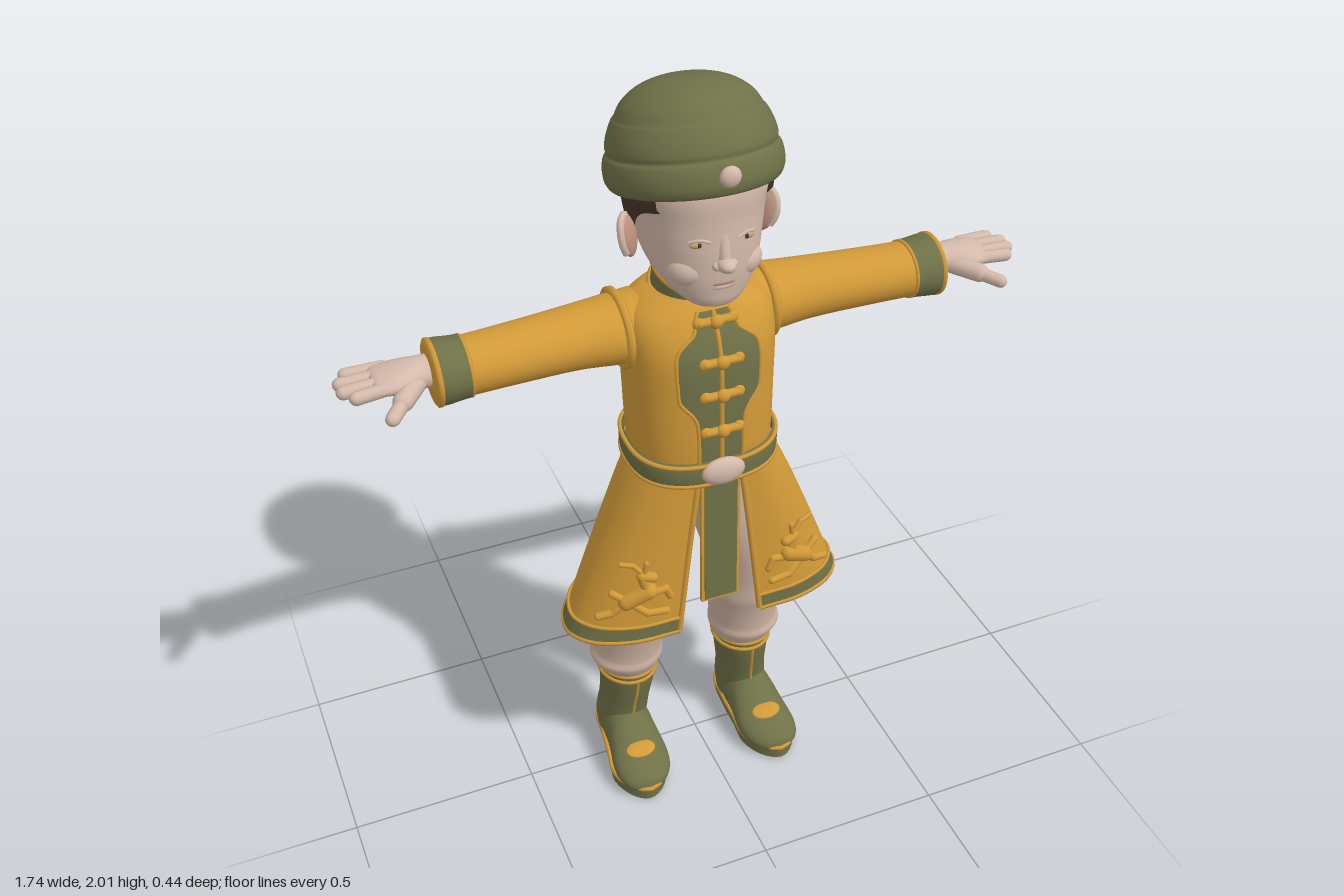
import * as THREE from 'three';
import { mergeVertices } from 'three/addons/utils/BufferGeometryUtils.js';

const V = (x, y, z) => new THREE.Vector3(x, y, z);
const PI = Math.PI;

// Smooth interpolation of rows [pos, cx, cz, rx, rz, tilt] by position
function at(rows, y) {
  let i = 0;
  while (i < rows.length - 2 && y > rows[i + 1][0]) i++;
  const a = rows[i], b = rows[i + 1], p = rows[i - 1] || a, n = rows[i + 2] || b;
  const h = b[0] - a[0], t = (y - a[0]) / h, t2 = t * t, t3 = t2 * t;
  return a.map((_, k) => {
    const m0 = (b[k] - p[k]) / (b[0] - p[0]), m1 = (n[k] - a[k]) / (n[0] - a[0]);
    return (2 * t3 - 3 * t2 + 1) * a[k] + (t3 - 2 * t2 + t) * h * m0 + (3 * t2 - 2 * t3) * b[k] + (t3 - t2) * h * m1;
  });
}
// Surface function: u = angle from the front towards +x, y = position, off = outward offset
const surf = (rows, e = 1) => (u, y, off = 0) => {
  const [, cx, cz, rx, rz, tilt = 0] = at(rows, y), s = Math.sin(u), c = Math.cos(u);
  const dz = (rz + off) * Math.sign(c) * Math.abs(c) ** e;
  return V(cx + (rx + off) * Math.sign(s) * Math.abs(s) ** e, y + tilt * dz, cz + dz);
};
const range = (a, b, n) => Array.from({ length: n + 1 }, (_, i) => a + (b - a) * i / n);
const steps = (rows, k = 4) => rows.slice(1).flatMap((r, i) => range(rows[i][0], r[0], k).slice(i ? 1 : 0));

function clean(g) {
  g.deleteAttribute('uv');
  g.deleteAttribute('normal');
  g = mergeVertices(g, 1e-5);
  g.computeVertexNormals();
  return g;
}
function grid(fn, us, vs) {
  const pos = [], idx = [], n = us.length;
  vs.forEach(v => us.forEach(u => pos.push(...fn(u, v).toArray())));
  for (let j = 0; j < vs.length - 1; j++) for (let i = 0; i < n - 1; i++) {
    const a = j * n + i;
    idx.push(a, a + 1, a + n, a + 1, a + n + 1, a + n);
  }
  const g = new THREE.BufferGeometry();
  g.setAttribute('position', new THREE.Float32BufferAttribute(pos, 3));
  g.setIndex(idx);
  return clean(g);
}
const skin = (rows, e, n = 40) => grid(surf(rows, e), range(-PI, PI, n), steps(rows));
const tube = (pts, r, closed = false) =>
  new THREE.TubeGeometry(new THREE.CatmullRomCurve3(pts, closed), pts.length * 3, r, 6, closed);
const hoop = (fn, y, r, off = 0) => tube(range(-PI, PI, 24).slice(1).map(u => fn(u, y, off)), r, true);
const ball = (x, y, z, a, b = a, c = a) => new THREE.SphereGeometry(1, 20, 14).scale(a, b, c).translate(x, y, z);
function limb(a, b, r) {
  const d = b.clone().sub(a), m = a.clone().add(b).multiplyScalar(0.5);
  return new THREE.CapsuleGeometry(r, d.length(), 5, 10)
    .applyQuaternion(new THREE.Quaternion().setFromUnitVectors(V(0, 1, 0), d.normalize())).translate(m.x, m.y, m.z);
}
function mirror(geo) {
  const g = geo.clone().scale(-1, 1, 1), ix = g.index.array;
  for (let i = 0; i < ix.length; i += 3) [ix[i], ix[i + 1]] = [ix[i + 1], ix[i]];
  return g;
}

export function createModel() {
  const root = new THREE.Group();
  root.name = 'child';
  const mat = (name, color, side = THREE.FrontSide) => {
    const m = new THREE.MeshStandardMaterial({ color, side });
    m.name = name;
    return m;
  };
  const gold = mat('golden cloth', 0xd29a38, THREE.DoubleSide), green = mat('olive cloth', 0x6f7148, THREE.DoubleSide);
  const flesh = mat('skin', 0xd4baab), pants = mat('trouser cloth', 0xcdb2a2), hair = mat('brown hair', 0x4a382b, THREE.DoubleSide);
  const rosy = mat('rosy skin', 0xc0917f), eye = mat('amber eye', 0xb9a070);
  const add = (name, geo, m) => {
    const mesh = new THREE.Mesh(geo, m);
    mesh.name = name;
    root.add(mesh);
  };
  const pair = (name, geo, m, dx = 0) => {
    const other = mirror(geo);
    add(name + 'Left', geo.clone().translate(dx, 0, 0), m);
    add(name + 'Right', other.translate(dx, 0, 0), m);
  };

  // Head and face
  const headRows = [[1.508, 0, .1, .01, .01], [1.514, 0, .1, .05, .05], [1.53, 0, .09, .075, .075], [1.555, 0, .07, .1, .1], [1.6, 0, .035, .128, .14],
    [1.66, 0, .01, .144, .166], [1.73, 0, 0, .155, .172], [1.8, 0, 0, .165, .17], [1.88, 0, 0, .14, .14]];
  const head = surf(headRows, .93);
  add('head', skin(headRows, .93, 48), flesh);
  add('neck', new THREE.CylinderGeometry(.072, .08, .16, 28).translate(0, 1.52, 0), flesh);
  add('noseTip', ball(0, 1.638, .184, .022, .017, .027), flesh);
  add('noseBridge', limb(V(0, 1.65, .174), V(0, 1.7, .161), .015), flesh);
  pair('nostril', ball(.018, 1.634, .175, .013, .011, .014), flesh);
  pair('cheek', ball(.06, 1.612, .115, .055, .045, .048), flesh);
  add('chin', ball(0, 1.54, .138, .036, .025, .026), flesh);
  add('upperLip', tube([-.036, -.018, 0, .018, .036].map(x => V(x, 1.586, .17 - 6 * x * x)), .006), rosy);
  add('lowerLip', tube([-.026, 0, .026].map(x => V(x, 1.575, .168 - 6 * x * x)), .007), flesh);
  pair('eye', ball(.058, 1.688, .158, .02, .008, .009), eye);
  pair('pupil', ball(.057, 1.689, .165, .005, .006, .004), hair);
  pair('upperLid', tube([.2, .36, .52].map((u, i) => head(u, 1.695 + (i === 1 ? .006 : 0), .001)), .004), flesh);
  pair('ear', ball(0, 0, 0, .016, .054, .036).rotateY(.65).rotateZ(-.18).translate(.166, 1.658, .008), rosy);
  pair('earRim', tube(range(-.6, 3.9, 9).map(a => V(0, .05 * Math.sin(a), -.033 * Math.cos(a))), .009)
    .rotateY(.65).rotateZ(-.18).translate(.171, 1.66, .008), flesh);

  // Hair below the cap, with its lower edge rising towards the temples
  const hairRows = [[.9, 1.755], [1.25, 1.735], [1.5, 1.7], [1.8, 1.63], [2.3, 1.6], [PI, 1.59]];
  add('hair', grid((u, v) => {
    const a = Math.min(PI, u > PI ? 2 * PI - u : u);
    return head(u, THREE.MathUtils.lerp(at(hairRows, a)[1], 1.83, v), .011 * Math.min(1, v * 5));
  }, range(.9, 2 * PI - .9, 44), range(0, 1, 10)), hair);

  // Rolled cap, higher at the brow than at the nape
  const capPts = [[.15, .01], [.188, -.005], [.204, .012], [.207, .04], [.202, .066], [.194, .076], [.196, .09], [.189, .118], [.176, .146],
    [.169, .154], [.15, .184], [.112, .212], [.06, .229], [0, .234]].map(p => new THREE.Vector2(...p));
  add('cap', clean(new THREE.LatheGeometry(new THREE.SplineCurve(capPts).getPoints(60).map(p => p.setX(Math.max(0, p.x))), 56))
    .rotateX(-.25).translate(0, 1.768, .001), green);
  add('capButton', ball(0, 1.862, .2, .025, .025, .016), flesh);

  // Coat body
  const torsoRows = [[1.04, 0, .02, .176, .145], [1.12, 0, .02, .181, .148], [1.25, 0, .016, .185, .148], [1.36, 0, .012, .188, .147],
    [1.42, 0, .003, .187, .137], [1.46, 0, -.004, .17, .122], [1.485, 0, -.008, .13, .11], [1.5, 0, -.01, .09, .1]];
  const torso = surf(torsoRows, .8);
  add('coatBody', skin(torsoRows, .8, 56), gold);
  const widthRows = [[1.06, .058], [1.2, .06], [1.23, .072], [1.265, .098], [1.29, .102], [1.38, .102], [1.41, .088], [1.435, .058], [1.48, .05]];
  const edge = y => Math.asin((at(widthRows, y)[1] / .186) ** 1.25);
  const chestYs = range(1.06, 1.48, 28);
  add('chestPanel', grid((u, y) => torso(u * edge(y), y, .005), range(-1, 1, 16), chestYs), green);
  pair('chestTrim', tube(chestYs.map(y => torso(edge(y), y, .004)), .005), gold);
  add('chestSeam', tube(chestYs.map(y => torso(0, y, .005)), .006), gold);
  add('backPanel', grid((u, y) => torso(PI + u, y, .005), range(-.28, .28, 10), chestYs), green);
  pair('backTrim', tube(chestYs.map(y => torso(PI - .28, y, .004)), .005), gold);
  [1.46, 1.37, 1.28, 1.18].forEach(y => {
    const p = torso(0, y, .012);
    add('toggleBar', limb(V(-.04, y, p.z - .003), V(.04, y, p.z - .003), .011), gold);
    add('toggleKnot', ball(0, y, p.z + .002, .018, .018, .014), gold);
    pair('toggleEnd', ball(.043, y, p.z - .004, .015, .015, .009), gold);
  });

  // Standing collar, higher at the nape
  const collarRows = [[1.45, 0, -.008, .108, .112, -.25], [1.5, 0, -.008, .1, .105, -.32], [1.55, 0, -.008, .096, .102, -.34]];
  const collar = surf(collarRows);
  add('collar', skin(collarRows), green);
  add('collarTopTrim', hoop(collar, 1.55, .009), gold);
  add('collarBaseTrim', hoop(collar, 1.48, .009), gold);

  // Belt and buckle
  const beltRows = [[1.03, 0, .02, .186, .155, -.06], [1.04, 0, .02, .194, .162, -.06], [1.09, 0, .02, .194, .162, -.06], [1.1, 0, .02, .184, .153, -.06]];
  const belt = surf(beltRows, .8);
  add('belt', skin(beltRows, .8, 56), green);
  add('beltTopTrim', hoop(belt, 1.093, .006), gold);
  add('beltBaseTrim', hoop(belt, 1.037, .006), gold);
  add('buckle', ball(0, 1.062, .183, .057, .038, .022), flesh);

  // Skirt panels, each running from the front opening round to the back opening
  const curve = pts => new THREE.CatmullRomCurve3(pts.map(([x, z]) => V(x, 0, z)));
  const waist = curve([[.055, .163], [.11, .158], [.16, .12], [.18, .06], [.175, -.02], [.13, -.09], [.06, -.13]]);
  const hem = curve([[.115, .172], [.24, .166], [.34, .125], [.383, .06], [.36, -.03], [.265, -.115], [.11, -.215]]);
  const skirt = (u, y, off = 0) => {
    const p = waist.getPoint(u).lerp(hem.getPoint(u), Math.max(0, (1.05 - y) / .49) ** .9);
    return p.add(p.clone().normalize().multiplyScalar(off)).setY(y);
  };
  const us = range(0, 1, 32);
  pair('skirtPanel', grid(skirt, us, range(.56, 1.05, 14)), gold);
  pair('hemBand', grid((u, y) => skirt(u, y, .005), us, [.568, .588, .606]), green);
  pair('hemTrim', tube(us.map(u => skirt(u, .562)), .008), gold);
  pair('hemUpperTrim', tube(us.map(u => skirt(u, .608, .003)), .005), gold);
  [0, 1].forEach(u => pair('skirtEdge', tube(range(.566, 1.04, 10).map(y => skirt(u, y)), .008), gold));

  // Centre flaps, front and back
  const flap = (name, zTop, zEnd, yEnd, w) => {
    const h = Math.hypot(1.05 - yEnd, zEnd - zTop), a = Math.atan2(zTop - zEnd, 1.05 - yEnd);
    const place = g => g.rotateX(a).translate(0, (1.05 + yEnd) / 2, (zTop + zEnd) / 2);
    add(name + 'Border', place(new THREE.BoxGeometry(w, h, .012)), gold);
    add(name + 'Cloth', place(new THREE.BoxGeometry(w - .016, h - .016, .019)), green);
  };
  flap('frontFlap', .162, .168, .64, .104);
  flap('backFlap', -.132, -.21, .64, .135);

  // Raised leaping deer on the front of each skirt panel
  const relief = (pts, r) => pts.slice(1).forEach((b, i) => {
    const [p, q] = [pts[i], b].map(([x, y]) => V(x, y, .17 - Math.max(0, x - .19) * .33));
    pair('deerRelief', limb(p, q, r), gold);
  });
  relief([[.195, .725], [.25, .69]], .023);
  relief([[.2, .73], [.212, .775], [.185, .768]], .014);
  relief([[.212, .785], [.232, .81], [.262, .815]], .007);
  relief([[.205, .785], [.2, .815]], .007);
  relief([[.19, .715], [.15, .72], [.138, .69]], .01);
  relief([[.25, .69], [.285, .655], [.32, .645]], .011);
  relief([[.235, .68], [.2, .65], [.15, .645]], .011);
  relief([[.26, .7], [.285, .72]], .01);

  // Sleeves, built upright and then turned to point along x
  const side = g => g.rotateZ(-PI / 2);
  const armRows = [[.14, -1.395, -.03, .088, .098], [.2, -1.394, -.03, .083, .096], [.3, -1.397, -.026, .075, .086], [.45, -1.4, -.012, .07, .08],
    [.58, -1.4, -.004, .069, .076], [.65, -1.4, -.004, .072, .077], [.655, -1.4, -.004, .05, .055], [.66, -1.4, -.004, .002, .002]];
  const arm = surf(armRows);
  pair('sleeve', side(skin(armRows)), gold);
  pair('cuff', side(grid((u, y) => arm(u, y, .004), range(-PI, PI, 40), range(.57, .638, 4))), green);
  pair('cuffOuterTrim', side(hoop(arm, .643, .008)), gold);
  pair('cuffInnerTrim', side(hoop(arm, .569, .005)), gold);
  pair('armholeTrim', side(hoop(arm, .187, .011, .004)), gold);

  // Hands
  pair('palm', side(skin([[.63, -1.41, 0, .038, .044], [.67, -1.412, 0, .037, .044], [.72, -1.415, .004, .031, .058], [.765, -1.414, .002, .023, .06],
    [.785, -1.413, 0, .016, .052], [.79, -1.412, 0, .002, .01]], 1, 24)), flesh);
  [[-.045, -.052, .833], [-.015, -.018, .853], [.015, .017, .852], [.043, .05, .83]].forEach(([z0, z1, x]) =>
    pair('finger', limb(V(.75, 1.416, z0), V(x, 1.412, z1), .0165), flesh));
  pair('thumb', limb(V(.69, 1.405, .03), V(.735, 1.4, .085), .024), flesh);
  pair('thumbTip', limb(V(.73, 1.4, .08), V(.77, 1.392, .13), .017), flesh);

  // Trousers, gathered above the boots
  const dx = -.02;
  pair('trouserLeg', skin([[.29, .17, -.028, .065, .075], [.325, .172, -.026, .085, .088], [.36, .176, -.022, .1, .1], [.385, .173, -.022, .094, .097],
    [.43, .17, -.02, .095, .1], [.47, .168, -.016, .098, .104], [.51, .166, -.012, .105, .11], [.57, .165, -.01, .104, .113], [.65, .153, 0, .103, .115],
    [.8, .11, .01, .1, .12], [.95, .085, .02, .088, .11], [1.05, .085, .02, .085, .11]]), pants, dx);

  // Boots
  const shaftRows = [[.03, .187, -.062, .062, .08], [.1, .185, -.056, .07, .082], [.18, .179, -.042, .069, .079], [.27, .173, -.031, .075, .087],
    [.325, .172, -.03, .08, .092]];
  const shaft = surf(shaftRows);
  pair('bootShaft', skin(shaftRows), green, dx);
  pair('bootTopTrim', hoop(shaft, .322, .006), gold, dx);
  pair('bootBand', hoop(shaft, .3, .006), gold, dx);
  pair('bootSeam', tube(range(.14, .3, 6).map(y => shaft(0, y, .001)), .004), gold, dx);
  pair('bootFoot', skin([[-.11, .187, -.06, .055, .055], [-.02, .187, -.078, .068, .08], [.03, .188, -.076, .07, .08], [.07, .189, -.065, .075, .064],
    [.11, .191, -.053, .08, .05], [.15, .194, -.047, .076, .04], [.185, .197, -.043, .06, .031], [.205, .198, -.04, .035, .02],
    [.213, .198, -.038, .003, .003]], 1, 32).rotateX(PI / 2), green, dx);
  const outline = [[.187, -.15], [.235, -.125], [.248, -.04], [.262, .05], [.272, .12], [.245, .185], [.2, .215], [.15, .185], [.12, .12],
    [.123, .05], [.126, -.04], [.138, -.125]];
  const soleShape = new THREE.Shape(new THREE.SplineCurve([...outline, outline[0]].map(p => new THREE.Vector2(...p))).getPoints(48).slice(0, -1));
  const slab = mergeVertices(new THREE.ExtrudeGeometry(soleShape, { depth: .034, bevelEnabled: false }));
  pair('bootSole', slab.rotateX(PI / 2).translate(0, .034, 0), green, dx);
  pair('bootWelt', tube(outline.map(([x, z]) => V(x, .037, z)), .007, true), gold, dx);
  pair('toePatch', ball(0, 0, 0, .042, .007, .026).rotateX(.3).translate(.192, .099, .118), gold, dx);
  return root;
}
